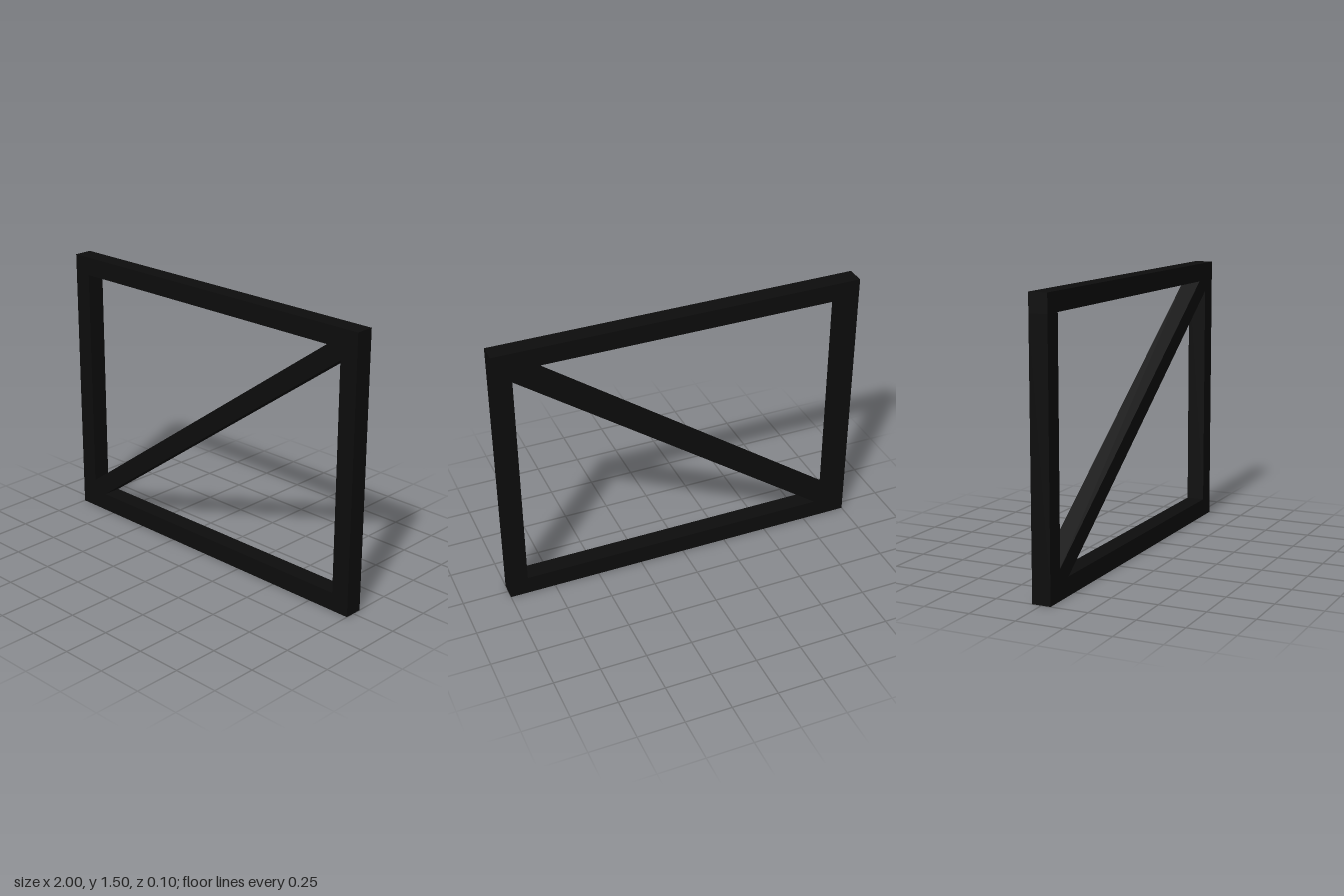
import * as THREE from 'three';

const WIDTH = 2, HEIGHT = 1.5, BAR = 0.1;

export function createModel() {
  const model = new THREE.Group();
  model.name = 'bracedFrame';
  const material = new THREE.MeshStandardMaterial({ color: 0x0d0d0d });

  // Square bar of a given length, lying along x and turned about z
  function addBar(name, length, x, y, angle = 0) {
    const bar = new THREE.Mesh(new THREE.BoxGeometry(length, BAR, BAR), material);
    bar.name = name;
    bar.position.set(x, y, 0);
    bar.rotation.z = angle;
    model.add(bar);
  }

  // Full-width rails
  addBar('bottomRail', WIDTH, 0, BAR / 2);
  addBar('topRail', WIDTH, 0, HEIGHT - BAR / 2);

  // Posts fitted between the rails
  const innerWidth = WIDTH - 2 * BAR, innerHeight = HEIGHT - 2 * BAR;
  for (const side of [-1, 1]) {
    addBar(side > 0 ? 'leftPost' : 'rightPost', innerHeight, side * (WIDTH - BAR) / 2, HEIGHT / 2, Math.PI / 2);
  }

  // Diagonal brace from inner corner to inner corner
  addBar('diagonalBrace', Math.hypot(innerWidth, innerHeight), 0, HEIGHT / 2, Math.atan2(innerHeight, innerWidth));

  return model;
}
